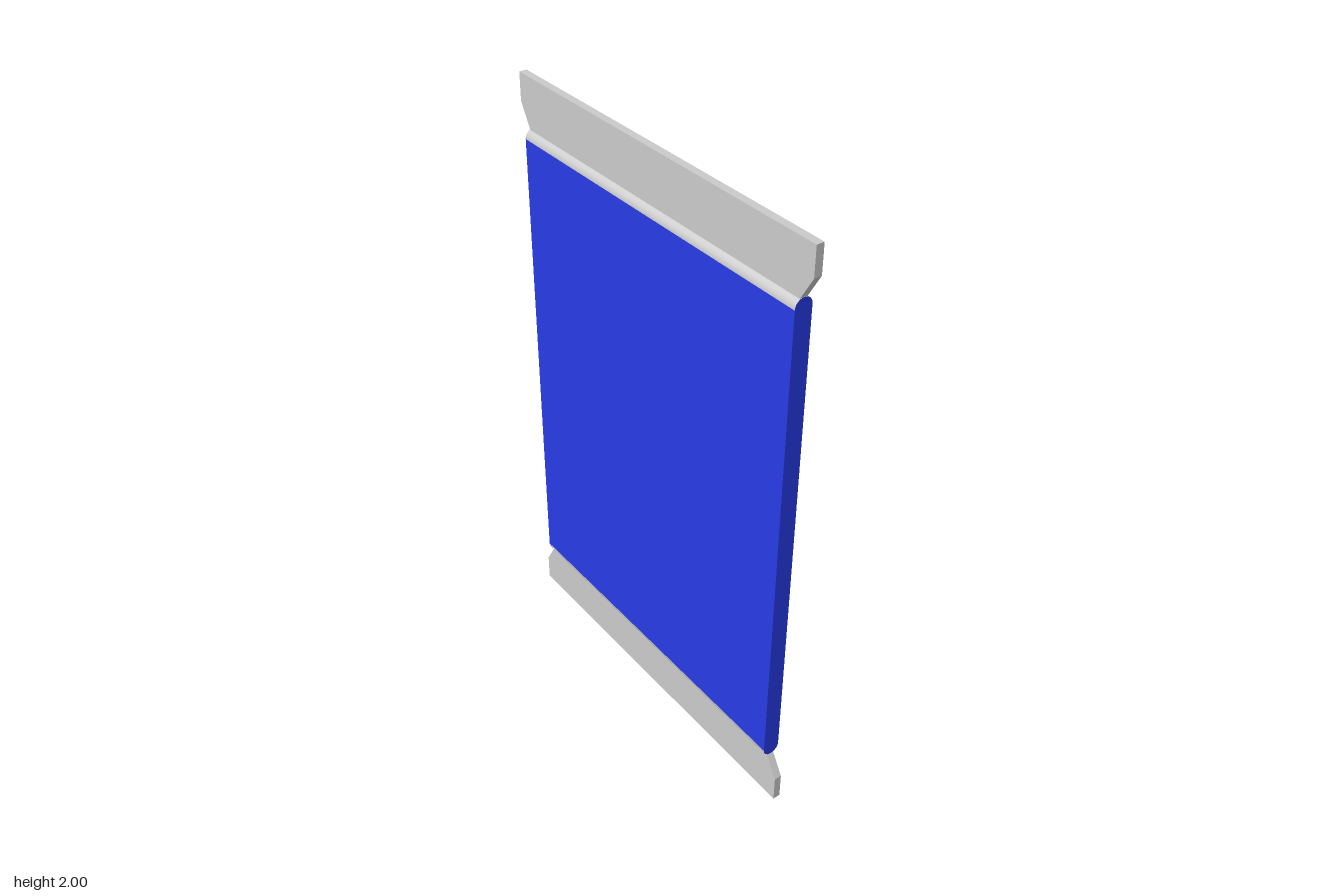
import * as THREE from 'three';

const R = 0.029;              // half thickness of the panel
const HALF_Z = 0.618;         // half width of the panel
const Y0 = 0.2, Y1 = 1.805;   // ends of the flat faces
const TAB = 0.0125;           // half thickness of the tabs

export function createModel() {
  const model = new THREE.Group();
  const grey = new THREE.MeshStandardMaterial({ color: 0xcccccc });
  const blue = new THREE.MeshStandardMaterial({ color: 0x283be6 });

  const add = (name, geometry, material) => {
    const mesh = new THREE.Mesh(geometry, material);
    mesh.name = name;
    model.add(mesh);
    return mesh;
  };

  // Stadium-shaped cross-section of the panel
  const section = new THREE.Shape();
  section.absarc(0, Y1, R, 0, Math.PI, false);
  section.absarc(0, Y0, R, Math.PI, 2 * Math.PI, false);
  section.closePath();

  // Blue broad faces and blue narrow ends
  for (const s of [1, -1]) {
    const face = add(s > 0 ? 'leftFace' : 'rightFace', new THREE.PlaneGeometry(2 * HALF_Z, Y1 - Y0), blue);
    face.rotation.y = s * Math.PI / 2;
    face.position.set(s * R, (Y0 + Y1) / 2, 0);

    const end = add(s > 0 ? 'frontEnd' : 'backEnd', new THREE.ShapeGeometry(section, 16), blue);
    end.rotation.y = s > 0 ? 0 : Math.PI;
    end.position.z = s * HALF_Z;
  }

  // Grey rounded edges along the top and bottom
  const roundEdge = (name, y, start) => {
    const edge = add(name, new THREE.CylinderGeometry(R, R, 2 * HALF_Z, 32, 1, true, start, Math.PI), grey);
    edge.rotation.x = Math.PI / 2;
    edge.position.y = y;
  };
  roundEdge('topRoundedEdge', Y1, Math.PI / 2);
  roundEdge('bottomRoundedEdge', Y0, -Math.PI / 2);

  // Flared tabs, wide on the outside and tapering to the panel
  const tabShape = new THREE.Shape([
    [-0.66, 0], [0.66, 0], [0.66, 0.092], [0.616, 0.168],
    [0.616, 0.19], [-0.616, 0.19], [-0.616, 0.168], [-0.66, 0.092],
  ].map(([x, y]) => new THREE.Vector2(x, y)));
  const tabGeometry = new THREE.ExtrudeGeometry(tabShape, { depth: 2 * TAB, bevelEnabled: false });
  tabGeometry.translate(0, 0, -TAB).rotateY(Math.PI / 2);
  add('bottomTab', tabGeometry, grey);
  const topTab = add('topTab', tabGeometry, grey);
  topTab.rotation.x = Math.PI;
  topTab.position.y = 2;

  return model;
}
